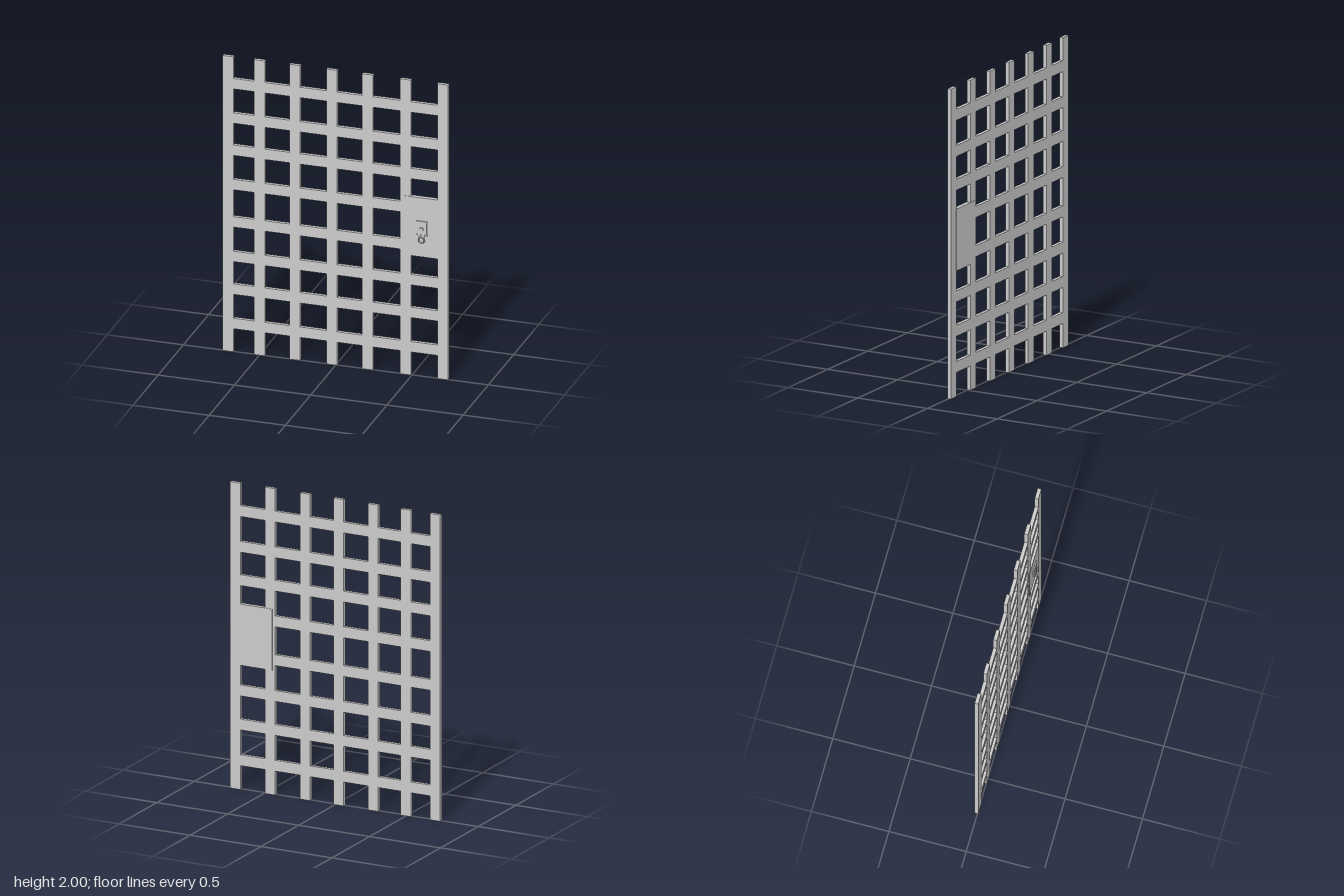
import * as THREE from 'three';

const material = new THREE.MeshStandardMaterial({ color: 0xcccccc });

function addMesh(parent, name, geometry, x = 0, y = 0, z = 0) {
  const mesh = new THREE.Mesh(geometry, material);
  mesh.name = name;
  mesh.position.set(x, y, z);
  parent.add(mesh);
  return mesh;
}

function extrude(shape, depth) {
  return new THREE.ExtrudeGeometry(shape, { depth, bevelEnabled: false, curveSegments: 16 });
}

// Centre lines of the bars, slightly uneven in spacing
const HALF = 0.0355;
const uprights = [-0.705, -0.499, -0.268, -0.025, 0.21, 0.458, 0.703];
const rails = [0.192, 0.425, 0.647, 0.881, 1.134, 1.367, 1.585, 1.818];

// Flat lattice: comb-shaped outline with a window in every cell
function latticeShape() {
  const low = rails[0] - HALF, high = rails[rails.length - 1] + HALF;
  const pts = [];
  for (const x of uprights) {
    pts.push([x - HALF, low], [x - HALF, 0], [x + HALF, 0], [x + HALF, low]);
  }
  for (const x of [...uprights].reverse()) {
    pts.push([x + HALF, high], [x + HALF, 2], [x - HALF, 2], [x - HALF, high]);
  }
  // The outer uprights run straight from top to bottom
  const outer = uprights[uprights.length - 1] + HALF;
  const inner = uprights[0] - HALF;
  const outline = pts.filter(([x, y]) => !((x === outer || x === inner) && (y === low || y === high)));
  const shape = new THREE.Shape(outline.map(([x, y]) => new THREE.Vector2(x, y)));
  for (let i = 0; i < uprights.length - 1; i++) {
    for (let j = 0; j < rails.length - 1; j++) {
      const x0 = uprights[i] + HALF, x1 = uprights[i + 1] - HALF;
      const y0 = rails[j] + HALF, y1 = rails[j + 1] - HALF;
      shape.holes.push(new THREE.Path([
        new THREE.Vector2(x0, y0), new THREE.Vector2(x0, y1),
        new THREE.Vector2(x1, y1), new THREE.Vector2(x1, y0),
      ]));
    }
  }
  return shape;
}

export function createModel() {
  const group = new THREE.Group();
  group.name = 'barredGate';

  addMesh(group, 'lattice', extrude(latticeShape(), 0.024), 0, 0, -0.018);

  // Solid plate behind the lock
  addMesh(group, 'lockPlate', new THREE.BoxGeometry(0.228, 0.4, 0.03), 0.556, 1.012, -0.006);

  // Small lock with a keyhole cover and a hanging ring
  const lock = new THREE.Group();
  lock.name = 'lock';
  lock.position.set(0.567, 1.007, 0.009);
  group.add(lock);
  addMesh(lock, 'lockBody', new THREE.BoxGeometry(0.066, 0.09, 0.006), 0, 0, 0.003);
  for (const y of [-0.045, 0.045]) {
    addMesh(lock, 'lockRim', new THREE.BoxGeometry(0.073, 0.007, 0.008), 0, y, 0.004);
  }
  const boss = addMesh(lock, 'lockBoss', new THREE.CylinderGeometry(0.011, 0.013, 0.005, 16), 0, -0.004, 0.0075);
  boss.rotation.x = Math.PI / 2;

  const lug = new THREE.Shape([
    new THREE.Vector2(-0.028, -0.048), new THREE.Vector2(-0.013, -0.064),
    new THREE.Vector2(0.013, -0.064), new THREE.Vector2(0.028, -0.048),
  ]);
  addMesh(lock, 'ringLug', extrude(lug, 0.008), 0, 0, 0.002);
  addMesh(lock, 'pullRing', new THREE.TorusGeometry(0.019, 0.004, 8, 24), 0, -0.078, 0.009);

  return group;
}
